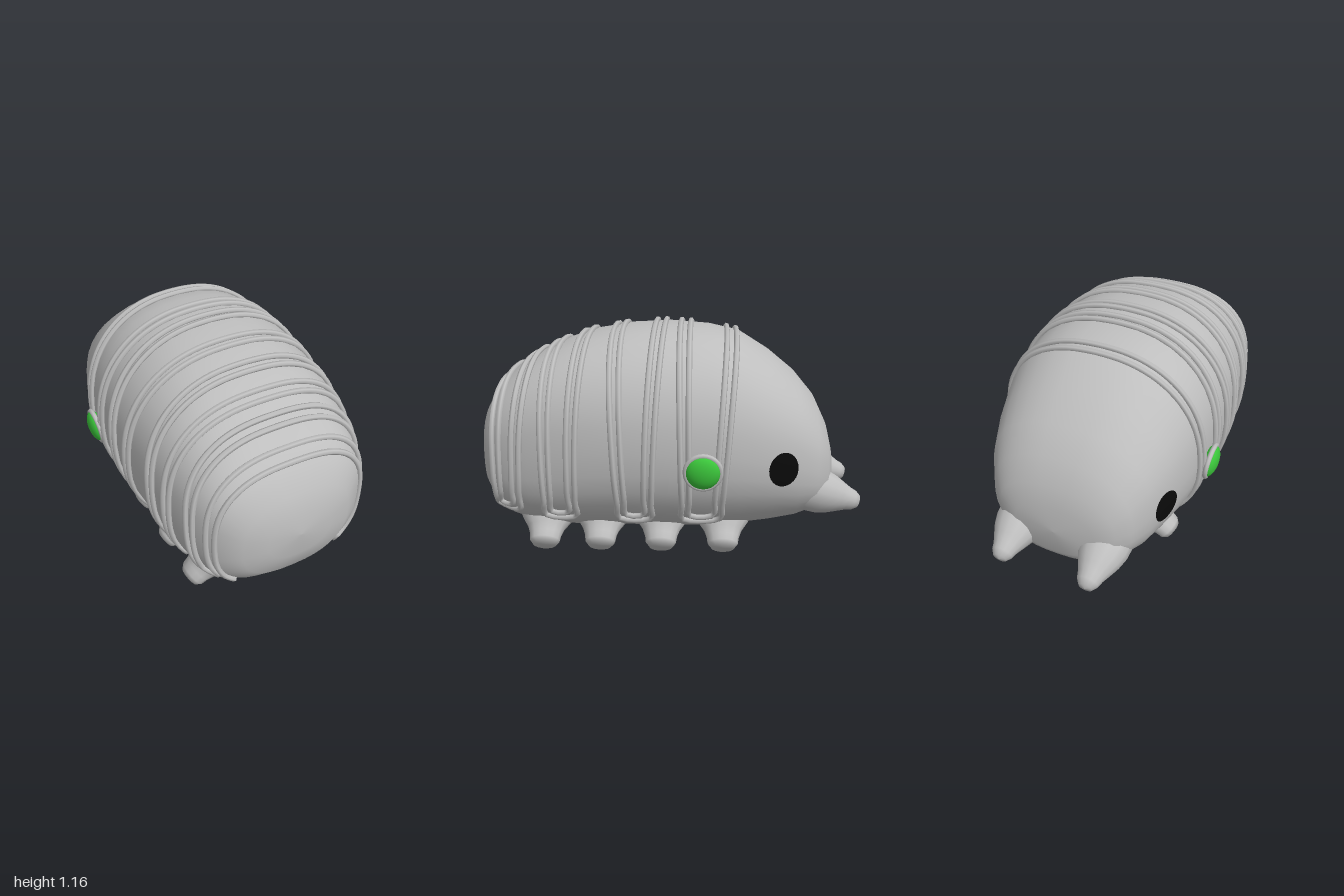
import * as THREE from 'three';

const grey = new THREE.MeshStandardMaterial({ color: 0xbebebe });
grey.name = 'shellGrey';
const green = new THREE.MeshStandardMaterial({ color: 0x3cc83c });
green.name = 'buttonGreen';
const black = new THREE.MeshStandardMaterial({ color: 0x0a0a0a });
black.name = 'eyeBlack';

// body sections: z, bottom, top, height of widest line, half width, squareness
const SECTIONS = [
  [1.0, 0.5, 0.5, 0.5, 0, 2.3],
  [0.99, 0.36, 0.62, 0.49, 0.17, 2.3],
  [0.96, 0.25, 0.73, 0.49, 0.29, 2.5],
  [0.9, 0.18, 0.83, 0.5, 0.385, 2.7],
  [0.82, 0.12, 0.91, 0.51, 0.435, 2.7],
  [0.7, 0.08, 0.985, 0.53, 0.475, 2.6],
  [0.55, 0.065, 1.055, 0.55, 0.51, 2.5],
  [0.4, 0.06, 1.105, 0.57, 0.53, 2.4],
  [0.2, 0.06, 1.14, 0.58, 0.55, 2.3],
  [0, 0.06, 1.15, 0.58, 0.556, 2.3],
  [-0.2, 0.065, 1.135, 0.57, 0.545, 2.3],
  [-0.36, 0.08, 1.1, 0.55, 0.525, 2.3],
  [-0.52, 0.1, 1.0, 0.52, 0.485, 2.3],
  [-0.66, 0.13, 0.885, 0.48, 0.435, 2.4],
  [-0.76, 0.165, 0.765, 0.44, 0.375, 2.4],
  [-0.82, 0.2, 0.64, 0.42, 0.31, 2.4],
  [-0.85, 0.25, 0.53, 0.4, 0.21, 2.3],
  [-0.86, 0.39, 0.39, 0.39, 0, 2.3],
];

function sectionAt(z) {
  let i = 0;
  while (i < SECTIONS.length - 2 && SECTIONS[i + 1][0] > z) i++;
  const a = SECTIONS[i], b = SECTIONS[i + 1];
  const t = (z - a[0]) / (b[0] - a[0]);
  return a.map((v, k) => v + (b[k] - v) * t);
}

// point on a section's superellipse, pushed out by lift
function ringPoint([z, bottom, top, mid, w, n], angle, lift = 0) {
  const c = Math.cos(angle), s = Math.sin(angle);
  const h = s >= 0 ? top - mid : mid - bottom;
  return new THREE.Vector3(
    Math.sign(c) * Math.abs(c) ** (2 / n) * w + c * lift,
    mid + Math.sign(s) * Math.abs(s) ** (2 / n) * h + s * lift, z);
}

// side surface x for a given height and depth
function sideX(y, z) {
  const [, bottom, top, mid, w, n] = sectionAt(z);
  const t = Math.abs(y >= mid ? (y - mid) / (top - mid) : (mid - y) / (mid - bottom));
  return w * (1 - t ** n) ** (1 / n);
}

function makeGeometry(pos, index) {
  const g = new THREE.BufferGeometry();
  g.setAttribute('position', new THREE.Float32BufferAttribute(pos, 3));
  g.setIndex(index);
  g.computeVertexNormals();
  return g;
}

function bodyGeometry() {
  const N = 36, pos = [], index = [];
  SECTIONS.forEach((section, i) => {
    for (let j = 0; j < N; j++) {
      pos.push(...ringPoint(section, (j / N) * Math.PI * 2).toArray());
      if (i === SECTIONS.length - 1) continue;
      const a = i * N + j, b = i * N + (j + 1) % N;
      index.push(a, a + N, b, b, a + N, b + N);
    }
  });
  return makeGeometry(pos, index);
}

// closed loop running over the back and turning low on each side
function bandGeometry(rearTop, rearLow, headTop, headLow, lowY) {
  const arm = (zTop, zLow) => {
    const [, bottom, , mid, , n] = sectionAt(zLow);
    const start = -Math.asin(((mid - lowY) / (mid - bottom)) ** (n / 2));
    const pts = [];
    for (let i = 0; i <= 18; i++) {
      const angle = start + (Math.PI - 2 * start) * (i / 18);
      const f = (Math.sin(angle) - Math.sin(start)) / (1 - Math.sin(start));
      pts.push(ringPoint(sectionAt(zLow + (zTop - zLow) * f), angle, 0.007));
    }
    return pts;
  };
  const points = [...arm(rearTop, rearLow), ...arm(headTop, headLow).reverse()];
  const curve = new THREE.CatmullRomCurve3(points, true, 'centripetal');
  return new THREE.TubeGeometry(curve, 140, 0.015, 6, true);
}

// tapered stub growing from its tip along a direction into the body
function stub(name, profile, tip, dir, scaleX, scaleZ) {
  const geo = new THREE.LatheGeometry(profile.map(p => new THREE.Vector2(...p)), 14);
  const mesh = new THREE.Mesh(geo, grey);
  mesh.name = name;
  mesh.position.set(...tip);
  mesh.quaternion.setFromUnitVectors(new THREE.Vector3(0, 1, 0), new THREE.Vector3(...dir).normalize());
  mesh.scale.set(scaleX, 1, scaleZ);
  return mesh;
}

// thin oval patch that follows the side of the head
function eyeGeometry(side) {
  const N = 24, RINGS = 4, pos = [], index = [];
  for (let r = 0; r <= RINGS; r++) {
    for (let j = 0; j < N; j++) {
      const a = (j / N) * Math.PI * 2;
      const y = 0.49 + Math.sin(a) * 0.088 * r / RINGS;
      const z = -0.575 + Math.cos(a) * 0.074 * r / RINGS;
      pos.push(side * (sideX(y, z) + 0.007), y, z);
      if (r === RINGS) continue;
      const p = r * N + j, q = r * N + (j + 1) % N;
      if (side > 0) index.push(p, q, p + N, q, q + N, p + N);
      else index.push(p, p + N, q, q, p + N, q + N);
    }
  }
  return makeGeometry(pos, index);
}

export function createModel() {
  const model = new THREE.Group();
  model.name = 'roundBug';
  const add = (name, geo, mat, parent = model) => {
    const mesh = new THREE.Mesh(geo, mat);
    mesh.name = name;
    parent.add(mesh);
    return mesh;
  };

  add('body', bodyGeometry(), grey);

  // shell bands: rear edge top and low, head edge top and low, lowest height
  [
    [0.88, 0.895, 0.695, 0.76, 0.235],
    [0.62, 0.62, 0.415, 0.465, 0.215],
    [0.29, 0.24, 0.025, 0.085, 0.21],
    [-0.055, -0.08, -0.345, -0.265, 0.21],
  ].forEach(([rt, rl, ht, hl, y], i) => {
    add('bandOuter' + (i + 1), bandGeometry(rt, rl, ht, hl, y), grey);
    add('bandInner' + (i + 1), bandGeometry(rt - 0.05, rl - 0.035, ht + 0.05, hl + 0.035, y + 0.03), grey);
  });

  const legProfile = [[0, 0], [0.045, 0], [0.06, 0.025], [0.064, 0.06], [0.075, 0.1], [0.1, 0.15], [0.12, 0.2]];
  const hornProfile = [[0, 0], [0.035, 0.008], [0.055, 0.035], [0.066, 0.07], [0.085, 0.11],
    [0.108, 0.16], [0.125, 0.22], [0.13, 0.3]];

  for (const side of [1, -1]) {
    const label = side > 0 ? 'Left' : 'Right';

    // legs
    [0.64, 0.35, 0.035, -0.285].forEach((z, i) =>
      model.add(stub('leg' + label + (i + 1), legProfile, [side * 0.408, 0.04, z],
        [-side * 0.77, 0.64, 0], 1, 1.3)));

    // horns at the head end
    model.add(stub('horn' + label, hornProfile, [side * 0.232, 0.24, -1],
      [0, 0.08, 0.28], 1, 0.95));

    // eyes
    add('eye' + label, eyeGeometry(side), black);

    // side buttons with their rims
    const button = new THREE.Group();
    button.name = 'button' + label;
    button.position.set(side * 0.562, 0.5, -0.18);
    button.rotation.z = -side * 0.12;
    model.add(button);
    add('buttonDome', new THREE.SphereGeometry(0.086, 24, 16), green, button).scale.x = 0.48;
    add('buttonRim', new THREE.TorusGeometry(0.086, 0.013, 8, 28), grey, button).rotation.y = Math.PI / 2;
  }
  return model;
}
